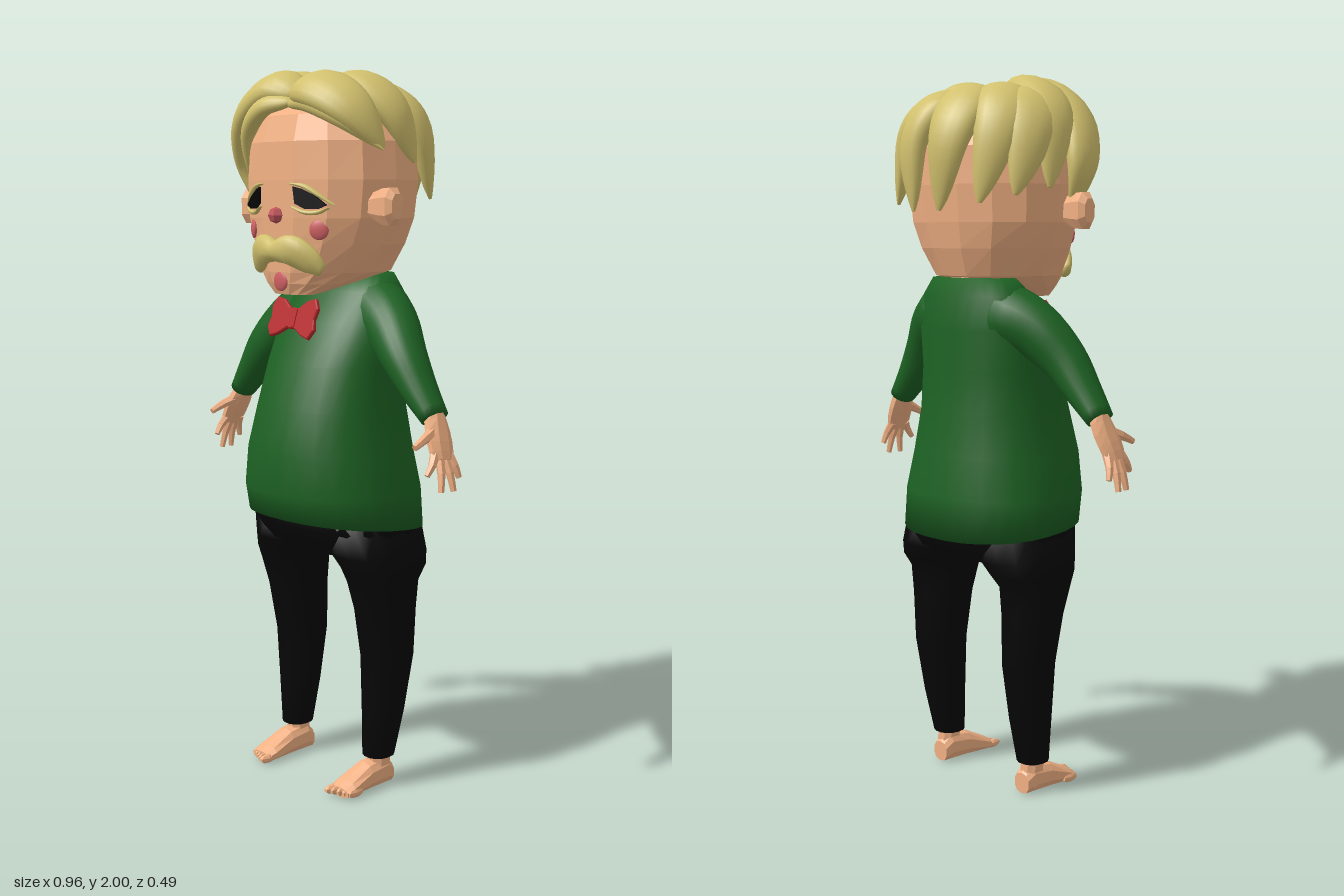
import * as THREE from 'three';

const V = (x, y, z) => new THREE.Vector3(x, y, z);
const mat = (color, flatShading = false) =>
  new THREE.MeshStandardMaterial({ color, flatShading, side: THREE.DoubleSide });

// Skin over rings { p, u, v }: centre and two half axes, u x v pointing along the path
function loft(rings, n, power = 2) {
  const pos = [], idx = [], last = (rings.length - 1) * n;
  const bend = (c) => Math.sign(c) * Math.abs(c) ** (2 / power);
  for (const { p, u, v } of rings) {
    for (let j = 0; j < n; j++) {
      const a = ((j + 0.5) / n) * Math.PI * 2;
      const q = p.clone().addScaledVector(u, bend(Math.cos(a))).addScaledVector(v, bend(Math.sin(a)));
      pos.push(q.x, q.y, q.z);
    }
  }
  const c0 = rings.length * n, c1 = c0 + 1;
  pos.push(...rings[0].p.toArray(), ...rings.at(-1).p.toArray());
  for (let j = 0; j < n; j++) {
    const k = (j + 1) % n;
    for (let i = 0; i < last; i += n) idx.push(i + j, i + k, i + n + k, i + j, i + n + k, i + n + j);
    idx.push(c0, k, j, c1, last + j, last + k);
  }
  const g = new THREE.BufferGeometry();
  g.setAttribute('position', new THREE.Float32BufferAttribute(pos, 3));
  g.setIndex(idx);
  g.computeVertexNormals();
  return g;
}

// Horizontal rings [y, x0, x1, zBack, zFront], mirrored by side
function stack(rows, n, power, side = 1) {
  return loft(rows.map(([y, x0, x1, zb, zf]) => ({
    p: V(side * (x0 + x1) / 2, y, (zb + zf) / 2),
    u: V(0, 0, (zf - zb) / 2), v: V((x1 - x0) / 2, 0, 0),
  })), n, power);
}

// Sweep along points; size(t) gives [thickness along "out", width across it]
function sweep(points, size, out, n = 10, steps = 12) {
  const curve = new THREE.CatmullRomCurve3(points.map((p) => V(...p)));
  const rings = [];
  for (let i = 0; i <= steps; i++) {
    const t = i / steps, p = curve.getPoint(t), d = curve.getTangent(t);
    const o = out(p);
    o.addScaledVector(d, -o.dot(d)).normalize();
    const w = d.clone().cross(o), [a, b] = size(t);
    rings.push({ p, u: o.multiplyScalar(a), v: w.multiplyScalar(b) });
  }
  return loft(rings, n);
}

const flip = (pts, s) => pts.map(([x, y, z]) => [x * s, y, z]);
const taper = (a, b) => (t) => [a + (b - a) * t, a + (b - a) * t];

export function createModel() {
  const model = new THREE.Group();
  const skin = mat(0xf0b083, true), smoothSkin = mat(0xf0b083), green = mat(0x1d6123);
  const black = mat(0x060607), red = mat(0xb9272b), pink = mat(0xcf5f62), blond = mat(0xd2c16e);
  const add = (name, geo, material, parent = model) => {
    const m = new THREE.Mesh(geo, material);
    m.name = name;
    parent.add(m);
    return m;
  };

  // Sweater body, hem dipping at the back
  const body = stack([
    [0.755, -0.262, 0.262, -0.21, 0.22], [0.85, -0.258, 0.258, -0.205, 0.238],
    [0.96, -0.235, 0.235, -0.188, 0.238], [1.08, -0.212, 0.212, -0.17, 0.21],
    [1.2, -0.204, 0.204, -0.16, 0.168], [1.31, -0.205, 0.205, -0.16, 0.115],
    [1.4, -0.185, 0.185, -0.15, 0.055], [1.45, -0.145, 0.145, -0.13, 0.01],
  ], 28, 2.3);
  const bp = body.attributes.position;
  for (let i = 0; i < bp.count; i++) {
    if (bp.getY(i) < 0.8) bp.setY(i, bp.getY(i) + bp.getZ(i) * 0.1);
  }
  body.computeVertexNormals();
  add('sweater', body, green);

  // Trousers
  add('hips', stack([
    [0.66, -0.11, 0.11, -0.11, 0.08], [0.69, -0.25, 0.25, -0.16, 0.14],
    [0.75, -0.26, 0.26, -0.192, 0.19], [0.8, -0.245, 0.245, -0.18, 0.195],
  ], 20, 2.4), black);

  for (const s of [1, -1]) {
    const side = s > 0 ? 'left' : 'right';
    add(side + 'TrouserLeg', stack([
      [0.09, 0.136, 0.22, -0.045, 0.045], [0.22, 0.128, 0.235, -0.075, 0.047],
      [0.38, 0.12, 0.25, -0.102, 0.052], [0.52, 0.112, 0.264, -0.102, 0.075],
      [0.6, 0.104, 0.273, -0.108, 0.1], [0.64, 0.09, 0.278, -0.14, 0.118], [0.68, 0.05, 0.277, -0.152, 0.13],
      [0.77, 0.03, 0.25, -0.155, 0.16],
    ], 14, 2.3, s), black);

    // Bare foot with five toes
    const foot = new THREE.Group();
    foot.name = side + 'Foot';
    model.add(foot);
    add('ankle', stack([[0.02, 0.145, 0.207, -0.038, 0.03], [0.12, 0.148, 0.208, -0.035, 0.035]], 8, 2.4, s), skin, foot);
    add('instep', loft([[-0.04, 0.03, 0.028], [-0.015, 0.043, 0.034], [0.05, 0.038, 0.037], [0.12, 0.021, 0.043], [0.145, 0.014, 0.038]]
      .map(([z, h, w]) => ({ p: V(s * 0.174, h, z), u: V(w, 0, 0), v: V(0, h, 0) })), 10, 2.5), skin, foot);
    for (let i = 0; i < 5; i++) {
      const toe = add('toe', new THREE.SphereGeometry(1, 6, 5), skin, foot);
      toe.scale.set(i ? 0.009 : 0.013, 0.013, 0.03);
      toe.position.set(s * (0.145 + i * 0.0165), 0.015, 0.146 - i * 0.007);
    }

    // Sleeve, its root buried in the body
    add(side + 'Sleeve', sweep(
      flip([[0.03, 1.33, -0.055], [0.12, 1.338, -0.042], [0.2, 1.31, -0.018], [0.28, 1.235, 0.01], [0.345, 1.155, 0.017], [0.405, 1.085, 0.018]], s),
      (t) => {
        const k = Math.max(0, (t - 0.2) / 0.8), root = Math.max(0, 0.2 - t) * 0.25;
        return [0.1 - 0.067 * k ** 0.85 - root, 0.095 - 0.053 * k ** 0.8 - root];
      }, () => V(s, 0.8, 0), 20, 20), green);

    // Hand: wrist and palm, four fingers, thumb
    const hand = new THREE.Group();
    hand.name = side + 'Hand';
    model.add(hand);
    add('palm', sweep(flip([[0.395, 1.105, 0.015], [0.415, 1.06, 0.02], [0.436, 1.015, 0.028], [0.45, 0.98, 0.032]], s),
      (t) => [0.027 - 0.012 * t, 0.027 + 0.015 * Math.sin(t * 2.6)], () => V(s, 0.4, 0), 8, 5), skin, hand);
    [[0.448, 0.945, 0.088], [0.467, 0.9, 0.055], [0.474, 0.9, 0.016], [0.466, 0.932, -0.012]].forEach((tip, i) => {
      const root = [0.442, 0.995, 0.055 - i * 0.016];
      const mid = root.map((c, k) => (c + tip[k]) / 2 + (k ? 0 : 0.005));
      add('finger', sweep(flip([root, mid, tip], s), taper(0.014, 0.008), () => V(s, 0.3, 0), 6, 4), skin, hand);
    });
    add('thumb', sweep(flip([[0.415, 1.055, 0.03], [0.428, 1.04, 0.075], [0.432, 1.02, 0.118]], s),
      taper(0.018, 0.009), () => V(s, 0.3, 0), 6, 4), skin, hand);

    // Ear
    add(side + 'Ear', loft([[0.22, 0.035, 0.026], [0.27, 0.05, 0.03], [0.298, 0.052, 0.033], [0.313, 0.034, 0.02]]
      .map(([x, h, d]) => ({ p: V(s * x, 1.63, 0.07), u: V(0, h, 0), v: V(0, 0, s * d) })), 8, 2.4), skin);
  }

  // Neck and faceted head, jaw rising towards the back
  add('neck', stack([[1.38, -0.09, 0.09, -0.12, 0.03], [1.5, -0.1, 0.1, -0.12, 0.06]], 12, 2), smoothSkin);
  const head = add('head', stack([
    [1.395, -0.07, 0.07, 0.115, 0.19], [1.425, -0.125, 0.125, -0.01, 0.203], [1.455, -0.168, 0.168, -0.135, 0.21],
    [1.53, -0.212, 0.212, -0.165, 0.214], [1.6, -0.243, 0.243, -0.18, 0.217], [1.7, -0.252, 0.252, -0.19, 0.218],
    [1.8, -0.243, 0.243, -0.19, 0.214], [1.87, -0.21, 0.21, -0.165, 0.19], [1.92, -0.14, 0.14, -0.11, 0.13],
    [1.94, -0.05, 0.05, -0.05, 0.06],
  ], 14, 2.3), skin);
  const ray = new THREE.Raycaster();
  const faceZ = (x, y) => {
    ray.set(V(x, y, 1), V(0, 0, -1));
    return ray.intersectObject(head)[0].point.z;
  };
  const dab = (name, x, y, r, depth, material) => {
    const m = add(name, new THREE.SphereGeometry(r, 16, 10), material);
    m.scale.z = depth;
    m.position.set(x, y, faceZ(x, y));
    m.rotation.y = x * 4;
  };

  // Face: drooping eyes with lids, cheeks, mouth, nose
  for (const s of [1, -1]) {
    const pts = [[0.064, 1.682], [0.09, 1.676], [0.135, 1.656], [0.166, 1.634], [0.14, 1.624], [0.1, 1.624], [0.07, 1.638]];
    const eyeShape = new THREE.Shape(pts.map(([x, y]) => new THREE.Vector2((x - 0.11) * s, y - 1.65)));
    const eye = add('eye', new THREE.ExtrudeGeometry(eyeShape, { depth: 0.008, bevelEnabled: false }), black);
    eye.position.set(s * 0.11, 1.65, faceZ(s * 0.11, 1.65) - 0.002);
    const slope = (faceZ(s * 0.07, 1.65) - faceZ(s * 0.155, 1.65)) / 0.085;
    eye.rotation.y = s * Math.atan(slope);
    const lid = (name, xy, w) => add(name, sweep(
      xy.map(([x, y]) => [x * s, y, faceZ(x * s, y) + 0.003]),
      (t) => [0.008, 0.002 + w * Math.sin(Math.PI * t)], () => V(0, 0, 1), 8, 8), blond);
    lid('upperLid', [[0.058, 1.69], [0.1, 1.683], [0.14, 1.661], [0.178, 1.634]], 0.005);
    lid('lowerLid', [[0.065, 1.63], [0.1, 1.615], [0.14, 1.615], [0.168, 1.626]], 0.004);
    dab('cheek', s * 0.137, 1.57, 0.027, 0.3, pink);
  }
  dab('mouth', 0, 1.432, 0.028, 0.3, pink);
  const nose = add('nose', new THREE.SphereGeometry(1, 6, 4), mat(0xc0545a, true));
  nose.scale.set(0.024, 0.022, 0.022);
  nose.position.set(0, 1.607, 0.217);

  // Moustache: blunt drooping ends, thick middle
  const whisker = [[0.132, 1.462, 0.168], [0.105, 1.487, 0.188], [0.055, 1.516, 0.213]];
  add('moustache', sweep([...flip(whisker, -1), [0, 1.512, 0.218], ...whisker.toReversed()], (t) => {
    const e = Math.abs(t * 2 - 1);
    return [0.014 + 0.014 * (1 - e), 0.018 + 0.024 * Math.sin(Math.PI * (0.12 + 0.88 * e))];
  }, () => V(0, 0, 1), 12, 24), blond);

  // Hair: overlapping locks swept outward from the crown
  const hair = new THREE.Group();
  hair.name = 'hair';
  model.add(hair);
  const lock = (name, pts, width, thick) => add(name, sweep(pts, (t) => {
    const k = Math.max(0.02, Math.sin(Math.PI * Math.min(1, 0.04 + 0.96 * t ** 0.85))) ** 0.6;
    return [thick * k, width * k];
  }, (p) => p.clone().sub(V(0, 1.68, 0.02)), 16, 20), blond, hair);
  const leftLocks = [
    [[0, 1.93, 0.14], [0.09, 1.935, 0.145], [0.2, 1.885, 0.13], [0.27, 1.78, 0.08]],
    [[0.005, 1.935, 0.04], [0.12, 1.945, 0.025], [0.215, 1.88, -0.005], [0.255, 1.745, -0.05]],
    [[0.005, 1.925, -0.05], [0.12, 1.915, -0.08], [0.198, 1.845, -0.11], [0.215, 1.65, -0.15]],
    [[0.015, 1.915, -0.05], [0.07, 1.905, -0.13], [0.1, 1.82, -0.185], [0.085, 1.63, -0.205]],
  ];
  const rightLocks = [
    [[0, 1.92, -0.03], [-0.045, 1.92, -0.12], [-0.06, 1.83, -0.2], [-0.03, 1.63, -0.215]],
    [[-0.04, 1.93, 0], [-0.12, 1.925, -0.06], [-0.165, 1.85, -0.125], [-0.15, 1.65, -0.18]],
    [[-0.08, 1.93, 0.02], [-0.17, 1.91, -0.015], [-0.22, 1.84, -0.06], [-0.225, 1.67, -0.12]],
    [[0.01, 1.935, 0.1], [-0.11, 1.95, 0.06], [-0.222, 1.88, 0.02], [-0.262, 1.69, -0.03]],
    [[0.015, 1.925, 0.14], [-0.08, 1.948, 0.14], [-0.2, 1.88, 0.13], [-0.27, 1.75, 0.085], [-0.24, 1.63, 0.08]],
  ];
  for (const pts of [...leftLocks, ...rightLocks]) lock('hairLock', pts, 0.077, 0.044);
  lock('leftFringe', [[0, 1.9, 0.17], [0.1, 1.895, 0.185], [0.19, 1.855, 0.165], [0.275, 1.775, 0.085]], 0.026, 0.022);
  lock('rightFringe', [[0.01, 1.905, 0.17], [-0.08, 1.895, 0.19], [-0.16, 1.83, 0.18], [-0.2, 1.7, 0.14]], 0.036, 0.025);

  // Bow tie
  const half = [[0.018, 0.026], [0.05, 0.048], [0.078, 0.054], [0.092, 0.03], [0.086, 0], [0.094, -0.028], [0.078, -0.052], [0.05, -0.044], [0.018, -0.026]];
  const outline = [...half, ...half.map(([x, y]) => [-x, y]).reverse()];
  const tie = new THREE.Group();
  tie.name = 'bowTie';
  tie.position.set(0, 1.327, 0.154);
  tie.rotation.x = -0.3;
  model.add(tie);
  add('bow', new THREE.ExtrudeGeometry(new THREE.Shape(outline.map((p) => new THREE.Vector2(...p))),
    { depth: 0.008, bevelSize: 0.003, bevelThickness: 0.003, bevelSegments: 1 }), red, tie);
  add('knot', new THREE.BoxGeometry(0.036, 0.05, 0.018), red, tie).position.z = 0.005;

  return model;
}
